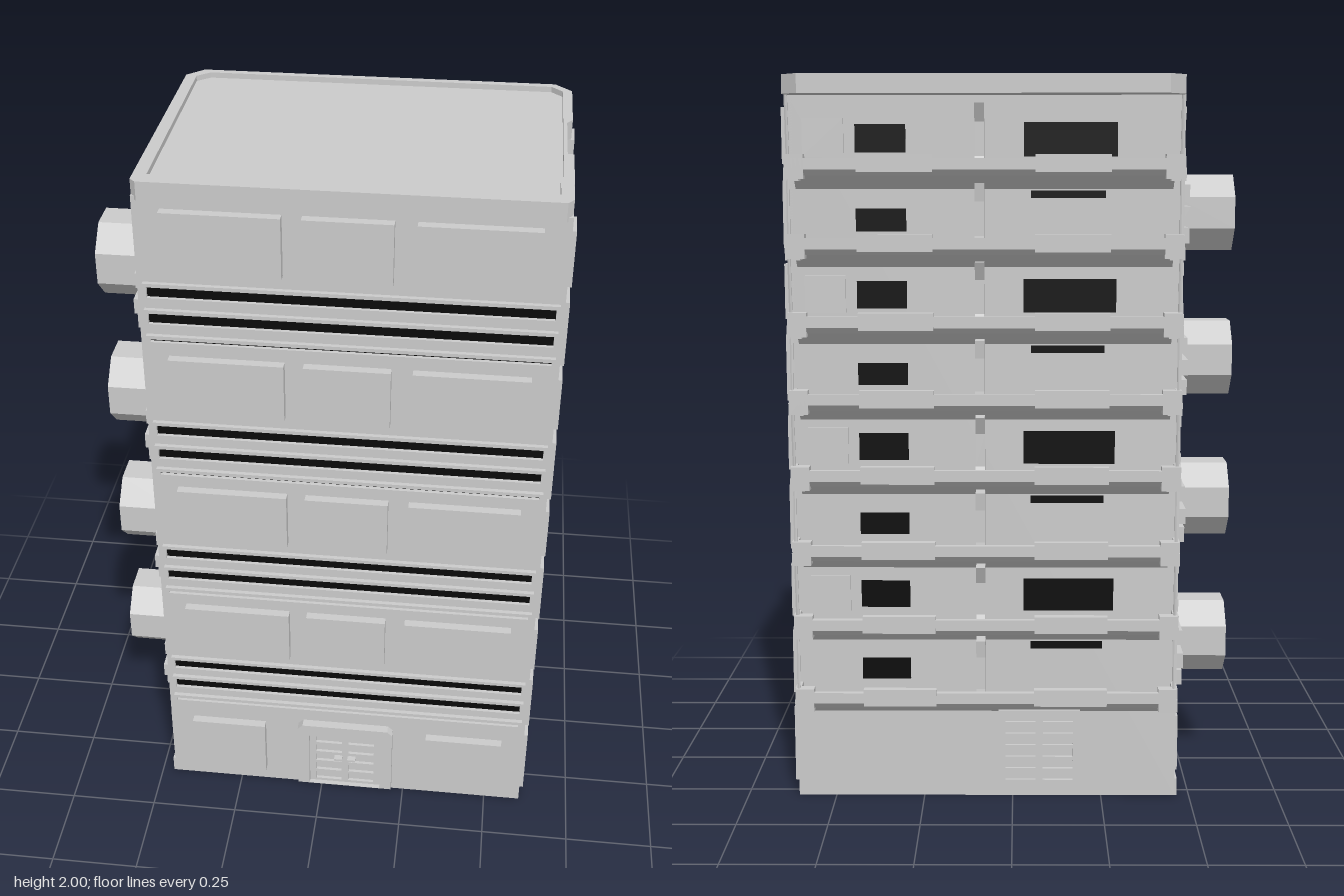
import * as THREE from 'three';

const grey = new THREE.MeshStandardMaterial({ color: 0xcccccc, flatShading: true, side: THREE.DoubleSide });
const dark = new THREE.MeshStandardMaterial({ color: 0x0a0a0a, side: THREE.DoubleSide });
const PITCH = 0.4155, LEVEL = PITCH / 2, BASE = 0.285, MID = 0.0725;

export function createModel() {
  const model = new THREE.Group();

  const add = (name, geo, mat = grey) => {
    const mesh = new THREE.Mesh(geo, mat);
    mesh.name = name;
    model.add(mesh);
  };
  // Box given by its limits
  const box = (name, x0, x1, y0, y1, z0, z1, mat) => {
    const g = new THREE.BoxGeometry(x1 - x0, y1 - y0, z1 - z0);
    add(name, g.translate((x0 + x1) / 2, (y0 + y1) / 2, (z0 + z1) / 2), mat);
  };
  const poly = (pts) => new THREE.Shape(pts.map(([a, b]) => new THREE.Vector2(a, b)));
  const extrude = (shape, depth) => new THREE.ExtrudeGeometry(shape, { depth, bevelEnabled: false });
  // Plan outline (x, z) extruded upward
  const plan = (name, shape, y0, y1) =>
    add(name, extrude(shape, y1 - y0).rotateX(Math.PI / 2).translate(0, y1, 0));
  // Side outline (-z, y) extruded along x
  const side = (name, shape, x0, x1) =>
    add(name, extrude(shape, x1 - x0).rotateY(Math.PI / 2).translate(x0, 0, 0));

  // Thin hollow shell, open underneath, with a notch for the right-hand column
  const shell = poly([[-0.46, -0.29], [0.602, -0.29], [0.602, -0.185], [0.575, -0.185], [0.575, 0.24],
    [0.602, 0.24], [0.602, 0.355], [-0.46, 0.355]]);
  shell.holes.push(poly([[-0.453, -0.283], [0.57, -0.283], [0.57, 0.348], [-0.453, 0.348]]));
  plan('buildingShell', shell, 0, 1.96);

  // Roof slab with raised rim
  const rimPts = [[-0.455, -0.34], [-0.41, -0.385], [0.56, -0.385], [0.605, -0.34], [0.605, -0.14], [0.59, -0.12],
    [0.59, 0.21], [0.605, 0.23], [0.605, 0.34], [0.59, 0.36], [-0.445, 0.36], [-0.46, 0.345]];
  plan('roofSlab', poly(rimPts), 1.95, 1.985);
  const rim = poly(rimPts);
  rim.holes.push(poly([[-0.425, -0.335], [-0.39, -0.365], [0.55, -0.365], [0.58, -0.335], [0.58, 0.215],
    [0.573, 0.225], [0.573, 0.315], [-0.425, 0.315]]));
  plan('roofRim', rim, 1.985, 2);

  // Front: window panels and dark slits, four storeys
  for (let i = 0; i < 4; i++) {
    const y = i * PITCH;
    for (const [a, b] of [[-0.39, -0.09], [-0.04, 0.185], [0.24, 0.54]])
      box('frontWindowPanel', a, b, 0.517 + y, 0.683 + y, 0.35, 0.38);
    for (const [c, h] of [[0.455, 0.03], [0.38, 0.03], [0.316, 0.008]]) {
      box('frontSlit', -0.435, 0.585, c + y - h / 2, c + y + h / 2, 0.347, 0.357, dark);
      for (const s of [-1, 1]) {
        const e = c + y + s * (h / 2 + 0.005);
        box('slitTrim', -0.445, 0.595, e - 0.005, e + 0.005, 0.352, 0.367);
      }
      for (const x of [-0.445, 0.585])
        box('slitEnd', x, x + 0.01, c + y - h / 2, c + y + h / 2, 0.352, 0.367);
    }
  }
  box('groundPanel', -0.39, -0.17, 0.055, 0.24, 0.35, 0.38);
  box('groundPanel', 0.315, 0.54, 0.055, 0.24, 0.35, 0.38);

  // Entrance: frame and double grille doors
  const frame = poly([[-0.07, 0.02], [-0.07, 0.245], [-0.055, 0.26], [0.2, 0.26], [0.215, 0.245], [0.215, 0.02]]);
  frame.holes.push(poly([[-0.035, 0.021], [-0.035, 0.22], [0.18, 0.22], [0.18, 0.021]]));
  add('doorFrame', extrude(frame, 0.028).translate(0, 0, 0.353));
  const grille = (name, x0, x1, y0, y1, z, rows, out) => {
    const zs = (d) => (out > 0 ? [z, z + d] : [z - d, z]);
    box(name + 'Backing', x0, x1, y0, y1, ...zs(0.003));
    const m = (x0 + x1) / 2;
    for (const x of [x0 + 0.01, m, x1 - 0.01]) box(name + 'Stile', x - 0.01, x + 0.01, y0, y1, ...zs(0.012));
    for (let r = 0; r <= rows; r++) {
      const y = y0 + 0.005 + (y1 - y0 - 0.01) * r / rows;
      box(name + 'Rail', x0, x1, y - 0.005, y + 0.005, ...zs(0.012));
    }
  };
  grille('door', -0.035, 0.18, 0.02, 0.22, 0.355, 5, 1);
  for (const s of [-1, 1]) box('doorHandle', MID + s * 0.02 - 0.012, MID + s * 0.02 + 0.012, 0.125, 0.132, 0.36, 0.383);
  grille('backDoor', -0.19, 0.04, 0.04, 0.255, -0.29, 6, -1);

  // Right side: column edge that bulges at every other level, half-width w or wide
  const edge = (w, wide, top) => {
    const pts = [[w, 0]];
    for (let i = 0; i < 4; i++) {
      const y = BASE + i * PITCH;
      pts.push([w, y], [wide, y + 0.055], [wide, y + 0.155], [w, y + 0.21]);
    }
    return [...pts, [w, top]];
  };
  const Z = 0.03;
  const sideZ = (pts, s) => pts.map(([w, y]) => [s * w - Z, y]);
  for (const s of [-1, 1]) {
    side('columnSurround', poly([...sideZ(edge(0.105, 0.14, 1.95), s), [s * 0.22 - Z, 1.95], [s * 0.22 - Z, 0]]), 0.572, 0.59);
    const outer = s < 0 ? -0.355 : 0.29;
    side('pilaster', poly([...sideZ(edge(0.215, 0.19, 1.96), s), [outer, 1.96], [outer, 0]]), 0.585, 0.606);
  }
  box('columnGap', 0.568, 0.578, 0.01, 1.95, -0.11, 0.17, dark);
  for (let i = 0; i < 5; i++) {
    const y0 = i ? BASE + 0.218 + (i - 1) * PITCH : 0.015, y1 = BASE + i * PITCH - 0.008;
    box('squareColumnPanel', 0.57, 0.613, y0, y1, Z - 0.092, Z + 0.092);
    // Small pilaster panels at the straight levels
    box('pilasterPanel', 0.6, 0.617, i ? y0 + 0.02 : 0.04, y1 - 0.02, 0.26, 0.343);
    box('pilasterPanel', 0.6, 0.617, i ? y0 + 0.02 : 0.04, y1 - 0.02, -0.278, -0.2);
    if (i === 4) continue;
    const b = BASE + i * PITCH;
    const oct = [[0.092, b + 0.01], [0.127, b + 0.06], [0.127, b + 0.15], [0.092, b + 0.2]];
    side('octagonColumnPanel', poly([...sideZ(oct, 1), ...sideZ(oct, -1).reverse()]), 0.57, 0.613);
    for (const s of [-1, 1]) {
      const o = s < 0 ? 0.313 : 0.308;
      const pts = [[o, b + 0.015], [0.23, b + 0.015], [0.207, b + 0.06], [0.207, b + 0.15], [0.23, b + 0.195], [o, b + 0.195]];
      side('chamferedPilasterPanel', poly(sideZ(pts, s)), 0.6, 0.617);
    }
  }

  // Left side: octagonal pods, bars, bricks and ground panels
  for (let i = 0; i < 4; i++) {
    const y = 0.39 + i * PITCH;
    const pod = new THREE.CylinderGeometry(0.115, 0.115, 0.165, 8).rotateY(Math.PI / 8).rotateZ(Math.PI / 2);
    add('octagonalPod', pod.translate(-0.5425, y, Z));
    for (const [z0, z1] of [[-0.27, -0.09], [0.15, 0.325]])
      for (const d of [-0.058, 0, 0.058])
        box('sideBar', -0.48, -0.455, y + d - 0.021, y + d + 0.021, z0 + Math.abs(d) * 0.5, z1 - Math.abs(d) * 0.5);
    for (let r = 0; r < 3; r++)
      for (let c = 0; c < 4; c++) {
        const z = -0.215 + c * 0.145 + (r % 2) * 0.06, b = y + 0.14 + r * 0.055;
        box('wallBrick', -0.465, -0.455, b, b + 0.035, z - 0.045, z + 0.045);
      }
  }
  for (let i = 0; i < 5; i++) {
    const z = -0.275 + i * 0.125;
    box('sideGroundPanel', -0.467, -0.455, 0.07, 0.23, z, z + 0.105);
  }
  box('sidePlinth', -0.466, -0.455, 0, 0.05, -0.29, 0.355);

  // Back: eight balconies with windows, fins, posts and end blocks
  for (let i = 0; i < 8; i++) {
    const y = BASE + i * LEVEL, upper = i % 2 === 1;
    side('balcony', poly([[0.285, y - 0.04], [0.33, y], [0.365, y], [0.378, y + 0.015], [0.378, y + 0.045],
      [0.362, y + 0.045], [0.362, y + 0.015], [0.285, y + 0.015]]), -0.43, 0.58);
    for (const x of [-0.16, 0.31]) box('parapetPanel', x - 0.1, x + 0.1, y + 0.008, y + 0.055, -0.381, -0.36);
    box('smallWindow', 0.285, 0.42, y + 0.06, y + (upper ? 0.135 : 0.12), -0.294, -0.285, dark);
    if (upper) {
      box('wideWindow', -0.28, -0.03, y + 0.05, y + 0.14, -0.294, -0.285, dark);
      box('wallPanel', 0.45, 0.56, y + 0.05, y + 0.15, -0.298, -0.285);
    } else box('stripWindow', -0.25, -0.05, y + 0.148, y + 0.168, -0.294, -0.285, dark);
    // Fin between the flats, waisted on every second level
    const waist = upper ? 0.338 : 0.355;
    side('balconyFin', poly([[0.285, y], [0.362, y], [waist, y + 0.05], [waist, y + 0.14],
      [0.362, y + LEVEL - 0.02], [0.285, y + LEVEL - 0.02]]), 0.075, 0.1);
    for (const s of [-1, 1]) {
      const at = (d) => MID + s * d;
      const sideBox = (name, a, b, ...r) => box(name, Math.min(at(a), at(b)), Math.max(at(a), at(b)), ...r);
      sideBox('balconyEndSlab', 0.49, 0.53, y - 0.015, y + 0.02, -0.36, -0.285);
      sideBox('balconyEndRail', 0.515, 0.53, y, y + 0.05, -0.35, -0.285);
      sideBox('balconyEndBlock', 0.475, 0.525, y - 0.01, y + 0.055, -0.378, -0.345);
      // Slightly leaning corner post
      const post = new THREE.CylinderGeometry(0.005, 0.005, LEVEL, 6).rotateX(upper ? -0.08 : 0.04);
      add('cornerPost', post.translate(at(0.518), y + LEVEL / 2, -0.36));
    }
  }
  return model;
}
